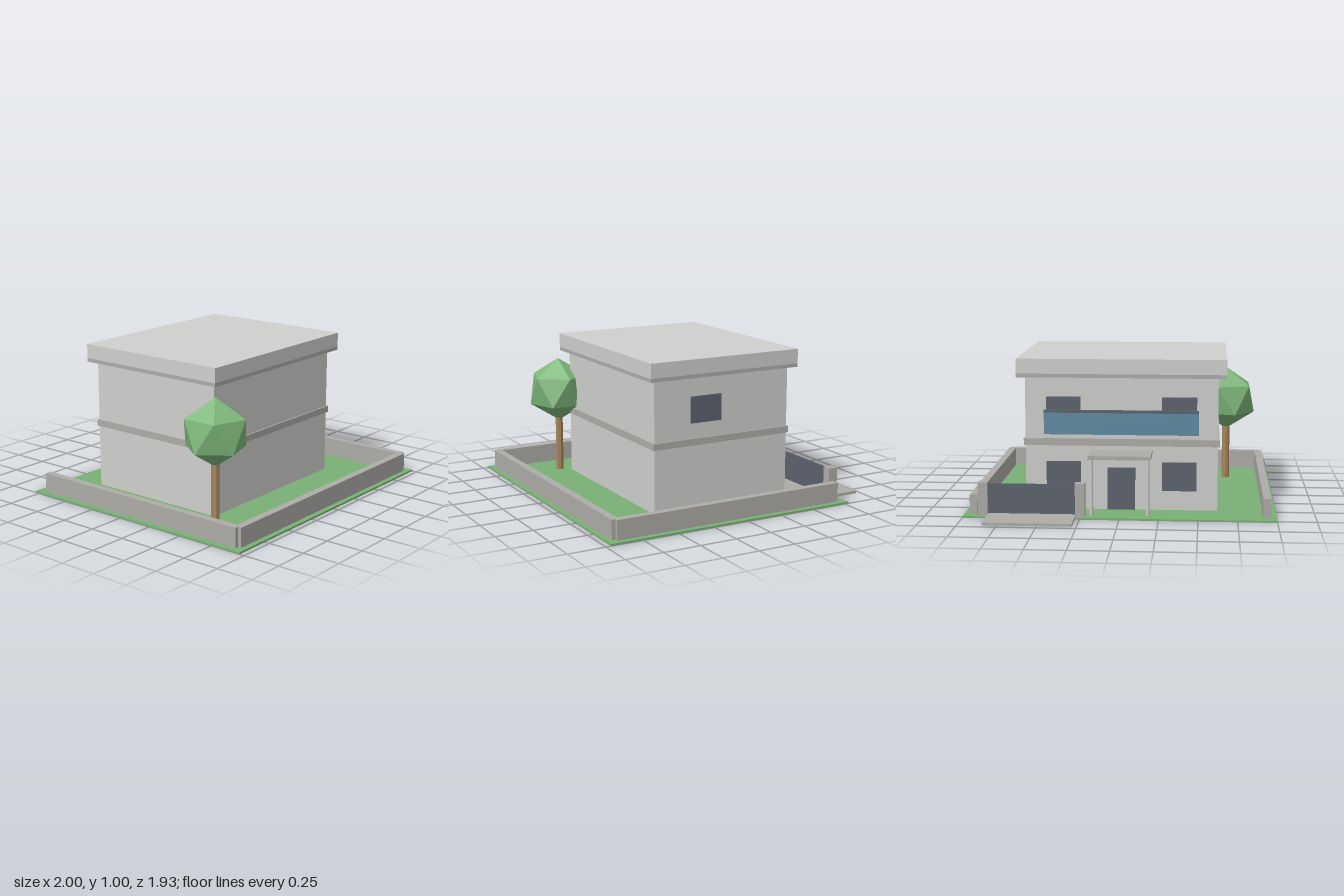
import * as THREE from 'three';
import { ConvexGeometry } from 'three/addons/geometries/ConvexGeometry.js';

function material(name, color, flatShading = false) {
  const m = new THREE.MeshStandardMaterial({ color, flatShading });
  m.name = name;
  return m;
}

export function createModel() {
  const model = new THREE.Group();
  model.name = 'houseWithGarden';

  const wall = material('lightPlaster', 0xcfcfcd);
  const stone = material('greyStone', 0xaeaca8);
  const grass = material('grass', 0x7ab076);
  const leaf = material('leafGreen', 0x7fb87b, true);
  const bark = material('bark', 0xa5855c, true);
  const dark = material('darkPane', 0x5c626d);
  const glass = material('blueGlass', 0x5f8aa2);

  const add = (name, geometry, mat, x = 0, y = 0, z = 0) => {
    const mesh = new THREE.Mesh(geometry, mat);
    mesh.name = name;
    mesh.position.set(x, y, z);
    model.add(mesh);
    return mesh;
  };
  // Box given by its limits on each axis
  const box = (name, mat, [x0, x1], [y0, y1], [z0, z1]) =>
    add(name, new THREE.BoxGeometry(x1 - x0, y1 - y0, z1 - z0), mat,
      (x0 + x1) / 2, (y0 + y1) / 2, (z0 + z1) / 2);

  // Plot and driveway
  box('lawn', grass, [-1, 1], [0, 0.012], [-0.78, 0.966]);
  box('driveway', stone, [0.278, 0.842], [0.002, 0.019], [-0.967, 0.156]);

  // House body, floor band and flat roof
  box('houseBody', wall, [-0.623, 0.623], [0.004, 0.885], [-0.531, 0.468]);
  box('floorBand', stone, [-0.634, 0.634], [0.433, 0.477], [-0.542, 0.479]);
  box('roofEdge', stone, [-0.675, 0.675], [0.88, 0.904], [-0.577, 0.519]);
  box('roof', wall, [-0.675, 0.675], [0.904, 1], [-0.577, 0.519]);

  // Back windows, door and side window
  const backZ = [-0.54, -0.531];
  for (const x of [-0.375, 0.375]) {
    box('lowerWindow', dark, [x - 0.112, x + 0.112], [0.14, 0.328], backZ);
    box('upperWindow', dark, [x - 0.112, x + 0.112], [0.578, 0.752], backZ);
  }
  box('door', dark, [-0.09, 0.09], [0.012, 0.29], backZ);
  box('sideWindow', dark, [0.623, 0.632], [0.578, 0.752], [-0.02, 0.206]);

  // Balcony
  box('balconySlab', stone, [-0.5, 0.5], [0.462, 0.482], [-0.556, -0.531]);
  box('balconyGlass', glass, [-0.5, 0.5], [0.508, 0.65], [-0.556, -0.547]);
  box('balconyRail', dark, [-0.5, 0.5], [0.65, 0.668], [-0.559, -0.544]);

  // Porch canopy on two posts
  box('canopy', stone, [-0.2, 0.2], [0.378, 0.402], [-0.732, -0.531]);
  for (const x of [-0.18, 0.18]) {
    add('canopyPost', new THREE.CylinderGeometry(0.012, 0.012, 0.368, 8), wall, x, 0.196, -0.706);
  }

  // Garden wall
  box('frontWall', stone, [-0.94, 0.94], [0.012, 0.14], [0.88, 0.931]);
  for (const s of [-1, 1]) {
    const xs = [s * 0.912, s * 0.962].sort((a, b) => a - b);
    box('sideWall', stone, xs, [0.012, 0.14], [-0.718, 0.906]);
  }

  // Driveway gate
  for (const x of [0.25, 0.872]) {
    box('gatePost', stone, [x - 0.031, x + 0.031], [0.012, 0.226], [-0.753, -0.689]);
  }
  box('gate', dark, [0.281, 0.841], [0.022, 0.215], [-0.727, -0.715]);

  // Tree: faceted trunk and a twenty-sided crown standing on a point
  const treeX = -0.688, treeZ = 0.53, r = 0.2236;
  add('treeTrunk', new THREE.CylinderGeometry(0.027, 0.027, 0.45, 8), bark, treeX, 0.237, treeZ);
  const points = [new THREE.Vector3(0, r, 0), new THREE.Vector3(0, -r, 0)];
  for (let i = 0; i < 10; i++) {
    const a = i * Math.PI / 5;
    const y = i % 2 ? -0.1 : 0.1;
    points.push(new THREE.Vector3(0.2 * Math.cos(a), y, 0.2 * Math.sin(a)));
  }
  add('treeCrown', new ConvexGeometry(points), leaf, treeX, 0.598, treeZ);

  return model;
}
